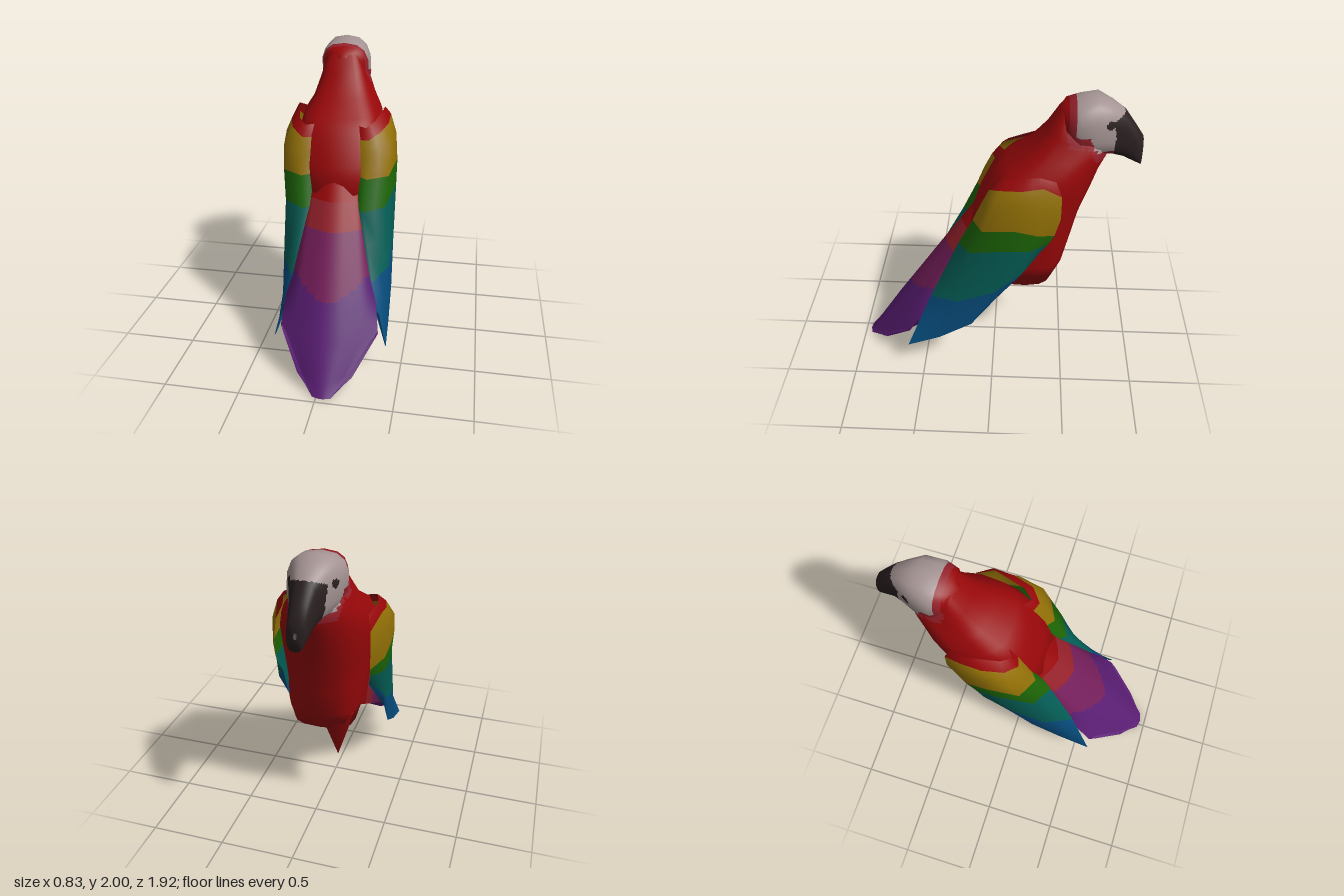
import * as THREE from 'three';

const paint = (name, color) => {
  const m = new THREE.MeshStandardMaterial({ color, side: THREE.DoubleSide });
  m.name = name;
  return m;
};
const RED = 0, ROSE = 1, MAGENTA = 2, PURPLE = 3, WHITE = 4, DARK = 5, YELLOW = 6, GREEN = 7, TEAL = 8, BLUE = 9;

// The whole bird leans a little to one side
const lean = (x, y) => x + 0.035 - 0.055 * y;
const V = (x, y, z) => new THREE.Vector3(lean(x, y), y, z);

// Skin over rows of points; k splits each cell so that a colour rule (x, y, z, row) draws clean borders
function loft(name, rows, closed, k, rule, materials) {
  const R = rows.length, C = rows[0].length;
  const col = j => closed ? (j + C) % C : Math.min(Math.max(j, 0), C - 1);
  const row = i => Math.min(Math.max(i, 0), R - 1);
  const at = (i, j) => rows[row(i)][col(j)];
  const normals = rows.map((r, i) => r.map((_, j) => {
    const du = at(i + 1, j).clone().sub(at(i - 1, j));
    const dv = at(i, j + 1).clone().sub(at(i, j - 1));
    return dv.cross(du).normalize();
  }));
  const mix = (grid, i, j, s, t) => {
    const a = grid[i][j].clone().lerp(grid[i][col(j + 1)], t);
    const b = grid[row(i + 1)][j].clone().lerp(grid[row(i + 1)][col(j + 1)], t);
    return a.lerp(b, s);
  };
  const pos = [], nor = [], buckets = materials.map(() => []);
  const nu = (R - 1) * k, nv = (closed ? C : C - 1) * k;
  const points = [];
  for (let a = 0; a <= nu; a++) for (let b = 0; b <= nv; b++) {
    const i = Math.min(Math.floor(a / k), R - 2), j = Math.min(Math.floor(b / k), nv / k - 1);
    const p = mix(rows, i, j, a / k - i, b / k - j);
    const n = mix(normals, i, j, a / k - i, b / k - j).normalize();
    points.push(p);
    pos.push(p.x, p.y, p.z);
    nor.push(n.x, n.y, n.z);
  }
  for (let a = 0; a < nu; a++) for (let b = 0; b < nv; b++) {
    const p = a * (nv + 1) + b, q = p + nv + 1;
    const c = points[p].clone().add(points[q + 1]).multiplyScalar(0.5);
    buckets[rule(c.x, c.y, c.z, (a + 0.5) / k)].push(p, p + 1, q + 1, p, q + 1, q);
  }
  const geo = new THREE.BufferGeometry();
  geo.setAttribute('position', new THREE.Float32BufferAttribute(pos, 3));
  geo.setAttribute('normal', new THREE.Float32BufferAttribute(nor, 3));
  const index = [];
  buckets.forEach((list, m) => {
    if (!list.length) return;
    geo.addGroup(index.length, list.length, m);
    for (const v of list) index.push(v);
  });
  geo.setIndex(index);
  const mesh = new THREE.Mesh(geo, materials);
  mesh.name = name;
  return mesh;
}

// Rounded section: calls make(across, along) in -1..1; a smaller power squares that half off
const ring = (n, powerA, powerB, make) => Array.from({ length: n }, (_, j) => {
  const a = j / n * Math.PI * 2, s = Math.sin(a), c = Math.cos(a);
  const soft = v => Math.sign(v) * Math.abs(v) ** (c > 0 ? powerA : powerB);
  return make(soft(s), soft(c));
});

// Face pattern: dark beak, one eye spot, white cheeks with a wavy rose border
function faceColor(x, y, z) {
  const beakEdge = y > 1.86 ? -0.75 - 2 * (y - 1.86) : y > 1.74 ? -0.75 - 0.2 * (1.86 - y) : -0.765;
  const eye = Math.hypot(z + (x < -0.07 ? 0.695 : 0.73), y - 1.845) < 0.028;
  if (z < beakEdge || eye) return DARK;
  const line = THREE.MathUtils.clamp(1.78 + 2.2 * (z + 0.6), 1.655, 1.78);
  if (z < -0.51 && y > line) return WHITE;
  return z < -0.465 && y > line - 0.07 ? ROSE : RED;
}

export function createModel() {
  const materials = [
    paint('red', 0x980709), paint('rose', 0x94202a), paint('magenta', 0x741e5a), paint('purple', 0x591d72),
    paint('faceWhite', 0xa39392), paint('beakDark', 0x2a2020), paint('yellow', 0x927006),
    paint('green', 0x1c6406), paint('teal', 0x045e56), paint('blue', 0x064c7c)];
  const bird = new THREE.Group();
  bird.name = 'parrot';

  // Body: tilted rings given as breast z, y, back z, y, half width, breast squareness
  const body = [
    [-0.28, 0.68, -0.16, 0.68, 0.03, 0.7], [-0.41, 0.65, -0.04, 0.63, 0.21, 0.68], [-0.48, 0.8, 0.08, 0.85, 0.25, 0.68],
    [-0.53, 1.0, 0.18, 1.08, 0.26, 0.7], [-0.58, 1.22, 0.12, 1.25, 0.29, 0.8], [-0.65, 1.4, 0.03, 1.43, 0.3, 0.95],
    [-0.7, 1.53, -0.07, 1.54, 0.275, 1.1], [-0.74, 1.61, -0.21, 1.63, 0.22, 1.1], [-0.74, 1.69, -0.33, 1.77, 0.175, 0.9],
    [-0.58, 1.84, -0.41, 1.9, 0.12, 0.9], [-0.54, 1.92, -0.46, 1.94, 0.04, 0.9],
  ].map(([zf, yf, zb, yb, w, power]) => ring(16, 0.68, power, (s, c) =>
    V(w * s, (yf + yb) / 2 + c * (yb - yf) / 2, (zf + zb) / 2 + c * (zb - zf) / 2)));
  bird.add(loft('body', body, true, 4, faceColor, materials));

  // Head and beak: sections given as z, top y, bottom y, half width
  const head = [
    [-0.4, 1.89, 1.8, 0.04], [-0.45, 1.95, 1.69, 0.145], [-0.54, 1.975, 1.62, 0.18], [-0.65, 2.0, 1.6, 0.168],
    [-0.75, 1.95, 1.605, 0.12], [-0.83, 1.895, 1.58, 0.085], [-0.9, 1.8, 1.545, 0.068],
    [-0.955, 1.72, 1.518, 0.055], [-0.96, 1.64, 1.6, 0.01],
  ].map(([z, top, low, w]) => ring(14, 0.78, 0.8, (s, c) =>
    V(w * s, (top + low) / 2 + c * (top - low) / 2, z)));
  bird.add(loft('head', head, true, 10, faceColor, materials));

  // Tail: a wedge; each row gives the drooping top (y, middle z, edge z, half width) and the underside (y, z, half width)
  const across = [1, 0.67, 0.33, 0, -0.33, -0.67, -1];
  const tail = [
    [1.25, 0.08, 0, 0.15, 0.65, -0.09, 0.16], [1.13, 0.175, 0.08, 0.2, 0.56, 0.08, 0.18],
    [0.85, 0.375, 0.25, 0.25, 0.43, 0.32, 0.22], [0.55, 0.585, 0.43, 0.295, 0.35, 0.47, 0.27],
    [0.29, 0.765, 0.6, 0.33, 0.265, 0.64, 0.31], [0.09, 0.9, 0.8, 0.19, 0.085, 0.83, 0.18],
    [0, 0.965, 0.95, 0.06, 0, 0.95, 0.05],
  ].map(([y, mid, edge, w, yUnder, zUnder, wUnder]) => [
    ...across.map(u => V(w * u, y, mid - (mid - edge) * Math.abs(u) ** 1.4)),
    ...[-1, -0.5, 0, 0.5, 1].map(u => V(wUnder * u, yUnder, zUnder))]);
  const tailColor = (x, y, z, u) =>
    u < 1.29 ? RED : u < 1.93 - 2 * x * x ? ROSE : u < 3.2 - 7 * x * x ? MAGENTA : PURPLE;
  bird.add(loft('tail', tail, true, 10, tailColor, materials));

  // Wings: six points per feather row, from the tucked back edge to the front, as x, y, z
  const wing = [
    [[0.15, 1.5, -0.06], [0.21, 1.5, -0.02], [0.26, 1.53, -0.08], [0.29, 1.555, -0.2], [0.31, 1.575, -0.3], [0.28, 1.53, -0.4]],
    [[0.15, 1.42, 0], [0.23, 1.43, 0.03], [0.31, 1.475, -0.04], [0.345, 1.495, -0.18], [0.345, 1.52, -0.32], [0.31, 1.44, -0.44]],
    [[0.15, 1.32, 0.04], [0.235, 1.32, 0.085], [0.365, 1.36, 0.015], [0.385, 1.41, -0.16], [0.38, 1.39, -0.31], [0.32, 1.28, -0.44]],
    [[0.15, 1.19, 0.08], [0.225, 1.19, 0.14], [0.365, 1.2, 0.07], [0.39, 1.225, -0.14], [0.385, 1.19, -0.29], [0.32, 1.15, -0.405]],
    [[0.14, 1, 0.16], [0.205, 0.99, 0.24], [0.345, 1.01, 0.16], [0.385, 1.06, -0.08], [0.38, 1.06, -0.24], [0.315, 1.08, -0.37]],
    [[0.22, 0.6, 0.38], [0.28, 0.58, 0.44], [0.37, 0.61, 0.25], [0.375, 0.7, 0], [0.37, 0.87, -0.2], [0.3, 0.99, -0.31]],
    [[0.37, 0.21, 0.59], [0.38, 0.2, 0.61], [0.375, 0.28, 0.38], [0.37, 0.41, 0.15], [0.365, 0.64, -0.02], [0.3, 0.97, -0.3]],
  ];
  const bands = [RED, YELLOW, YELLOW, GREEN, TEAL, BLUE];
  for (const [name, side] of [['leftWing', 1], ['rightWing', -1]]) {
    const rows = wing.map(r => r.map(([x, y, z]) => V(side * x, y, z)));
    bird.add(loft(name, rows, false, 2, (x, y, z, u) => bands[Math.floor(u)], materials));
  }

  // Pointed tuft below the belly, off to one side
  const tuftGeo = new THREE.ConeGeometry(0.14, 0.4, 6);
  tuftGeo.rotateX(Math.PI);
  const tuft = new THREE.Mesh(tuftGeo, materials[RED]);
  tuft.name = 'bellyTuft';
  tuft.position.set(-0.11, 0.58, -0.315);
  bird.add(tuft);

  return bird;
}
